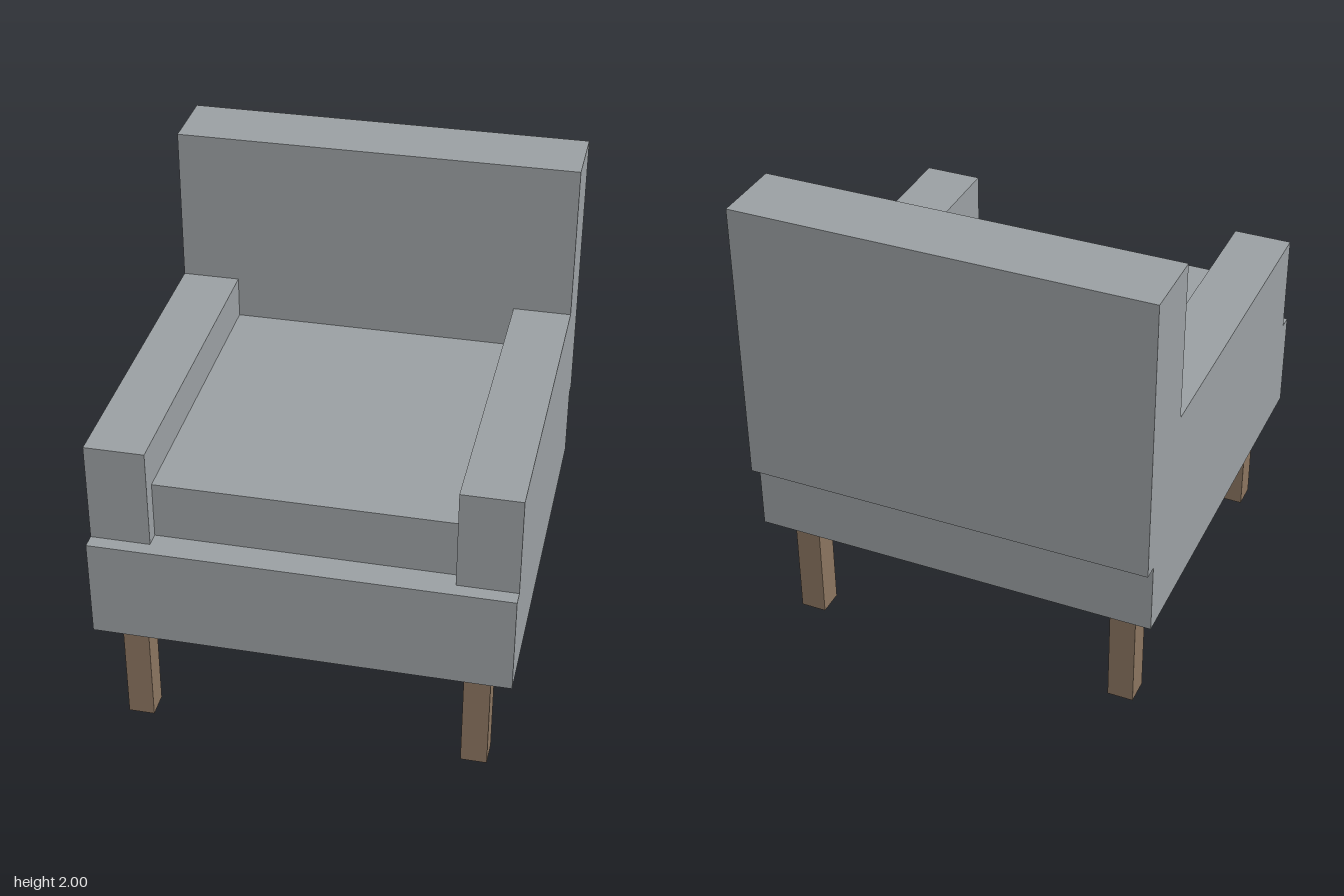
import * as THREE from 'three';

export function createModel() {
  const group = new THREE.Group();
  const fabric = new THREE.MeshStandardMaterial({ color: 0x9a9fa2 });
  fabric.name = 'grey fabric';
  const wood = new THREE.MeshStandardMaterial({ color: 0x8a745f });
  wood.name = 'brown wood';

  // Box given by its extents along each axis
  function block(name, material, [x0, x1], [y0, y1], [z0, z1]) {
    const mesh = new THREE.Mesh(new THREE.BoxGeometry(x1 - x0, y1 - y0, z1 - z0), material);
    mesh.position.set((x0 + x1) / 2, (y0 + y1) / 2, (z0 + z1) / 2);
    mesh.name = name;
    group.add(mesh);
  }

  // Upholstered body
  block('seatBase', fabric, [-0.85, 0.85], [0.487, 0.91], [-0.818, 0.878]);
  block('backrest', fabric, [-0.85, 0.85], [0.793, 2], [-0.878, -0.578]);
  block('seatCushion', fabric, [-0.606, 0.606], [0.91, 1.153], [-0.578, 0.755]);
  block('leftArmrest', fabric, [0.606, 0.85], [0.91, 1.333], [-0.578, 0.818]);
  block('rightArmrest', fabric, [-0.85, -0.606], [0.91, 1.333], [-0.578, 0.818]);

  // Four square legs, centred under the seat base
  const half = 0.054;
  for (const [side, x] of [['Left', 0.702], ['Right', -0.702]]) {
    for (const [end, z] of [['front', 0.736], ['back', -0.674]]) {
      block(`${end}${side}Leg`, wood, [x - half, x + half], [0, 0.487], [z - half, z + half]);
    }
  }

  return group;
}
